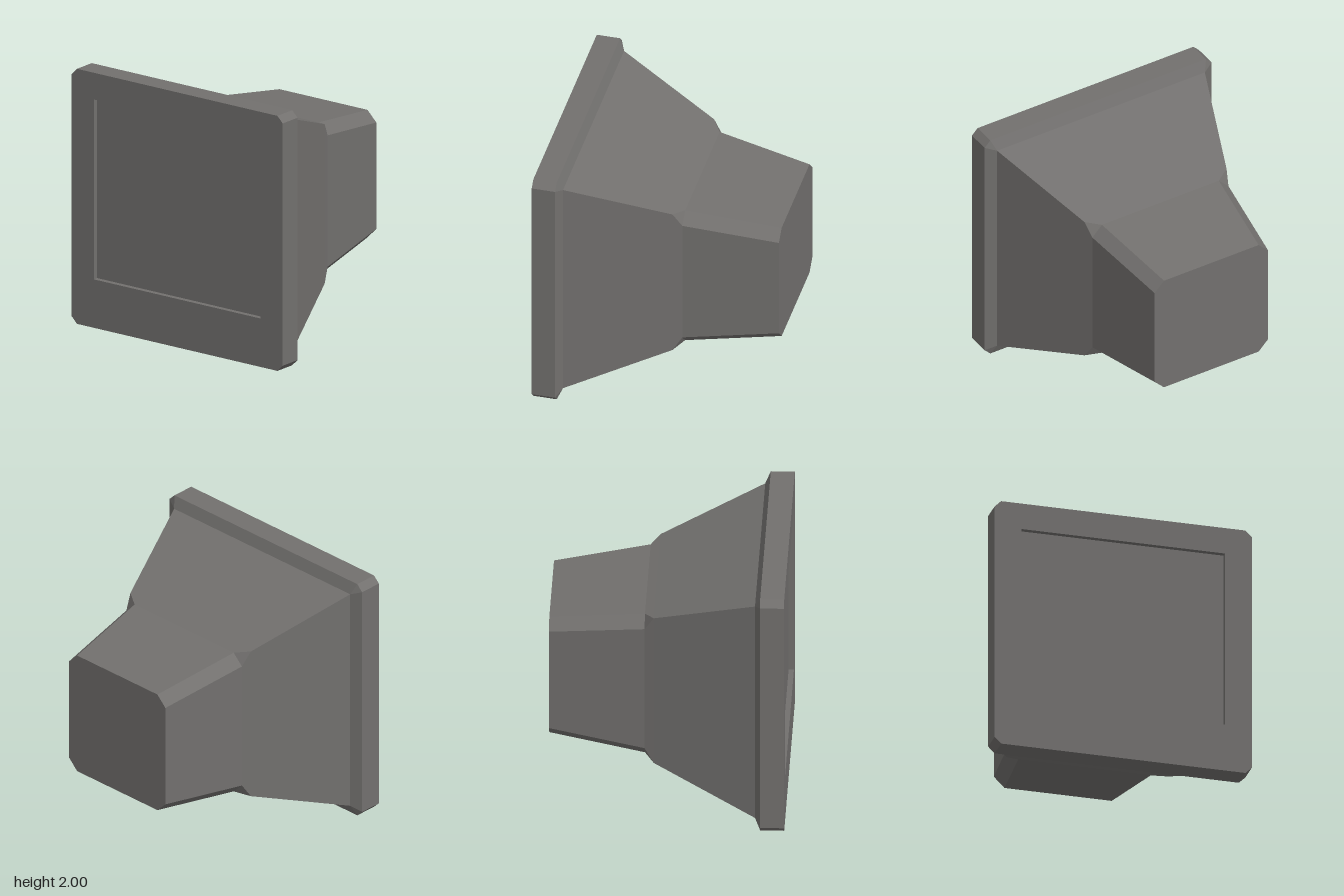
import * as THREE from 'three';

const casing = new THREE.MeshStandardMaterial({ color: 0x72706e });
casing.name = 'grey casing';

// Square of half-size h with corners cut by c, counter-clockwise from the front
function cutSquare(h, c) {
  const k = h - c;
  return [[h, -k], [h, k], [k, h], [-k, h], [-h, k], [-h, -k], [-k, -h], [k, -h]]
    .map(([x, y]) => new THREE.Vector2(x, y));
}

// Flat-faced skin through cut squares [z, h, c], ordered from front to back
function skin(sections, closeBack) {
  const rings = sections.map(([z, h, c]) =>
    cutSquare(h, c).map((p) => new THREE.Vector3(p.x, p.y + 1, z)));
  const pos = [];
  const tri = (a, b, c) => {
    if (a.equals(b) || b.equals(c) || c.equals(a)) return;
    for (const p of [a, b, c]) pos.push(p.x, p.y, p.z);
  };
  for (let r = 0; r + 1 < rings.length; r++) {
    const a = rings[r], b = rings[r + 1];
    for (let i = 0; i < 8; i++) {
      const j = (i + 1) % 8;
      tri(a[i], b[i], b[j]);
      tri(a[i], b[j], a[j]);
    }
  }
  if (closeBack) {
    const e = rings[rings.length - 1];
    for (let i = 1; i < 7; i++) tri(e[0], e[i + 1], e[i]);
  }
  const geo = new THREE.BufferGeometry();
  geo.setAttribute('position', new THREE.Float32BufferAttribute(pos, 3));
  geo.computeVertexNormals();
  return geo;
}

export function createModel() {
  const model = new THREE.Group();
  model.name = 'monitor';
  const add = (name, geo) => {
    const mesh = new THREE.Mesh(geo, casing);
    mesh.name = name;
    model.add(mesh);
    return mesh;
  };

  // Front frame with the screen opening, set slightly above centre
  const x = 0.79, bottom = 0.38 - 1, top = 1.79 - 1;
  const frame = new THREE.Shape(cutSquare(1, 0.05));
  frame.holes.push(new THREE.Path([[-x, bottom], [-x, top], [x, top], [x, bottom]]
    .map(([u, v]) => new THREE.Vector2(u, v))));
  add('bezel', new THREE.ExtrudeGeometry(frame, { depth: 0.18, bevelEnabled: false }))
    .position.set(0, 1, 0.71);

  // Recessed screen
  add('screen', new THREE.PlaneGeometry(2 * x, top - bottom))
    .position.set(0, 1 + (top + bottom) / 2, 0.85);

  // Sloped rim behind the frame
  add('bezelRim', skin([[0.71, 1, 0.05], [0.67, 0.915, 0]]));

  // Tapering body whose corners are clipped where it meets the rear housing
  add('taperedBody', skin([[0.67, 0.915, 0], [-0.1, 0.626, 0], [-0.17, 0.6, 0.085]]));

  // Rear housing with bevelled corners
  add('rearHousing', skin([[-0.17, 0.6, 0.085], [-0.89, 0.5, 0.083]], true));

  return model;
}
